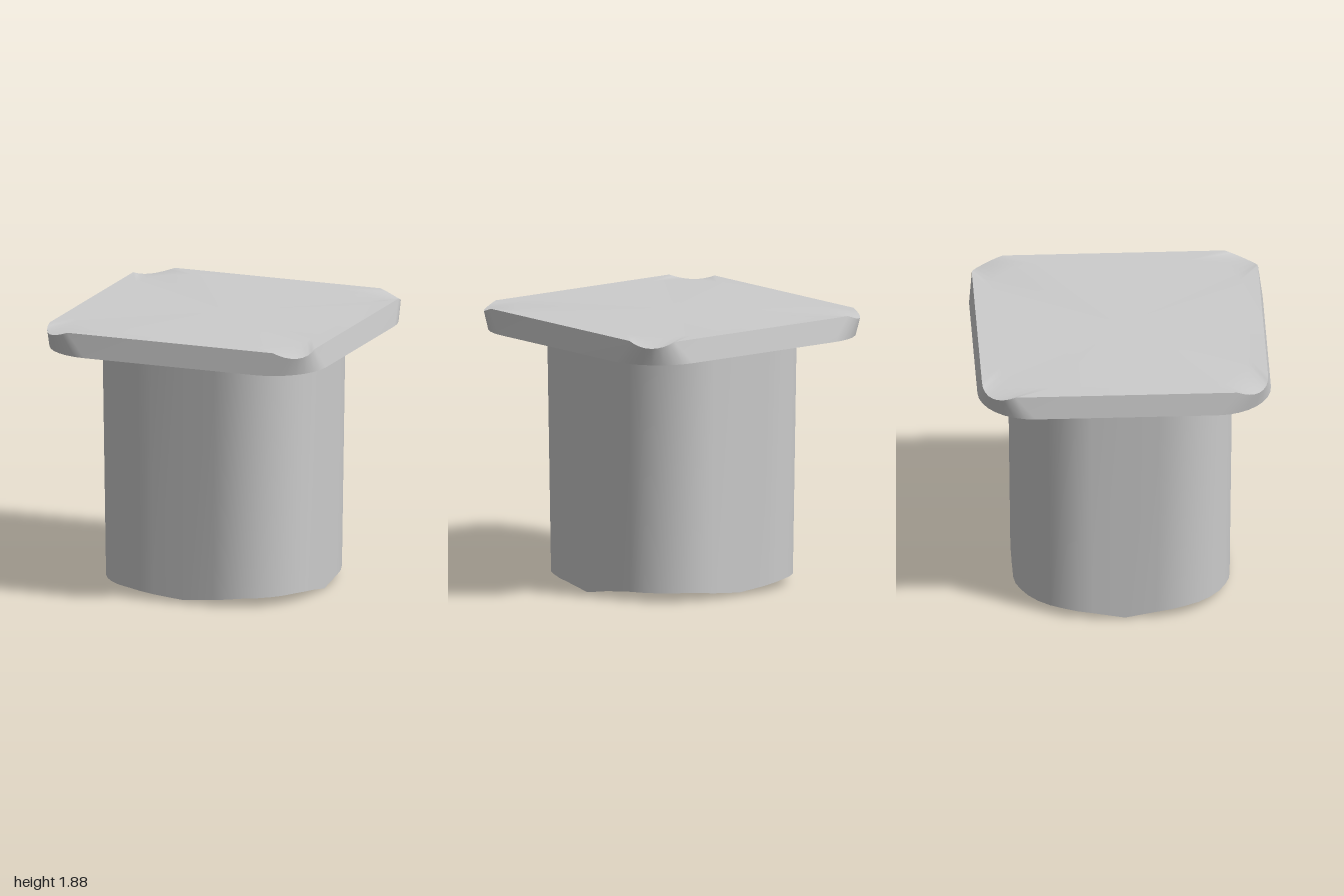
import * as THREE from 'three';

const ARC = 8; // segments per rounded corner

// Rounded-square ring; y is a number or a rule of (corner angle or null at mid-side, quadrant)
function ring(half, radius, y) {
  const points = [];
  for (let q = 0; q < 4; q++) {
    const add = (x, z, phi) => {
      for (let k = 0; k < q; k++) [x, z] = [-z, x];
      points.push([x, typeof y === 'number' ? y : y(phi, q), z]);
    };
    add(half, 0, null);
    for (let i = 0; i <= ARC; i++) {
      const phi = (i / ARC) * Math.PI / 2;
      add(half - radius + radius * Math.cos(phi), half - radius + radius * Math.sin(phi), phi);
    }
  }
  return points;
}

// Smooth skin through rings, listed from the inside/bottom up
function loft(name, rings, material) {
  const n = rings[0].length;
  const index = [];
  for (let r = 0; r < rings.length - 1; r++) {
    for (let i = 0; i < n; i++) {
      const j = (i + 1) % n;
      const a = r * n + i, b = r * n + j, c = a + n, d = b + n;
      index.push(a, c, b, b, c, d);
    }
  }
  const geometry = new THREE.BufferGeometry();
  geometry.setAttribute('position', new THREE.Float32BufferAttribute(rings.flat(2), 3));
  geometry.setIndex(index);
  geometry.computeVertexNormals();
  const mesh = new THREE.Mesh(geometry, material);
  mesh.name = name;
  return mesh;
}

export function createModel() {
  const grey = new THREE.MeshStandardMaterial({ color: 0xcccccc });
  grey.name = 'light grey';

  // Bottom rim rises at the corners and dips at the middle of each side
  const rimHeight = (phi, q) => phi === null
    ? (q % 2 ? 0.02 : 0)
    : 0.04 + 0.02 * Math.min(1, 1.5 * Math.sin(2 * phi));
  const bodyBottom = ring(0.737, 0.52, rimHeight);
  const bodyTop = ring(0.755, 0.52, 1.68);

  // Cap: wide lower edge, slightly narrower top with drooping corners
  const capLower = ring(1, 0.38, 1.72);
  const capUpper = ring(0.975, 0.22, phi => 1.88 - 0.04 * Math.sin(2 * (phi ?? 0)));
  const capInset = ring(0.85, 0.35, 1.88);

  const group = new THREE.Group();
  group.name = 'cappedPost';
  group.add(
    loft('postBase', [ring(0, 0, 0.008), bodyBottom], grey),
    loft('post', [bodyBottom, bodyTop], grey),
    loft('capUnderside', [bodyTop, capLower], grey),
    loft('capRim', [capLower, capUpper], grey),
    loft('capTop', [capUpper, capInset, ring(0, 0, 1.88)], grey),
  );
  return group;
}
